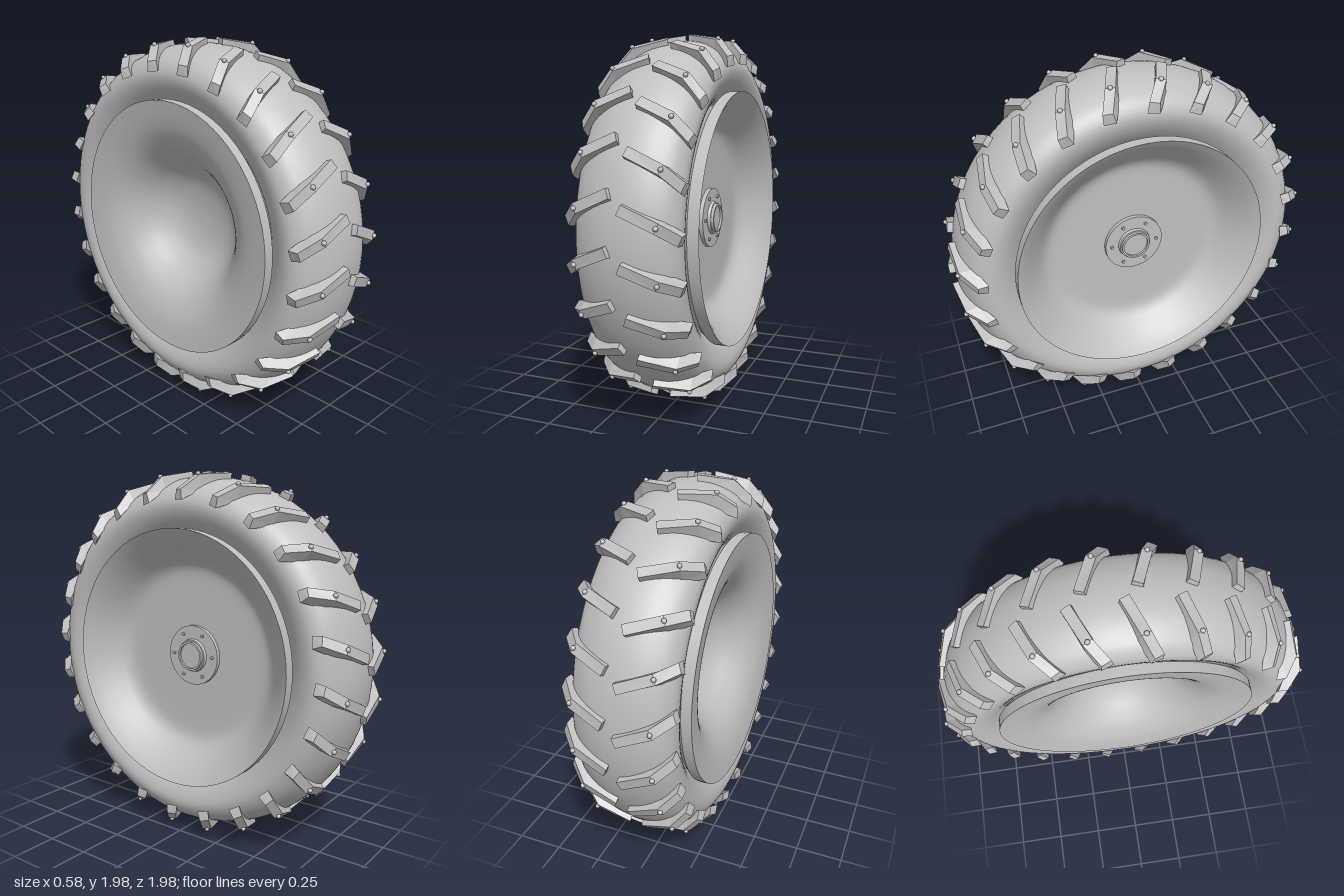
import * as THREE from 'three';

const V2 = (p) => new THREE.Vector2(p[0], p[1]);

export function createModel() {
  const root = new THREE.Group();
  root.name = 'tractorWheel';
  const grey = new THREE.MeshStandardMaterial({ color: 0xbfbfbf });
  grey.name = 'plain grey';

  // Everything is built around the axle, then lifted to stand on the ground
  const wheel = new THREE.Group();
  wheel.name = 'wheel';
  wheel.position.y = 1;
  root.add(wheel);

  function add(name, geometry, parent = wheel) {
    const mesh = new THREE.Mesh(geometry, grey);
    mesh.name = name;
    parent.add(mesh);
    return mesh;
  }

  // Surface of revolution around x; points are [radius, x]
  function turned(name, points, smooth = 0) {
    let pts = points.map(V2);
    if (smooth) pts = new THREE.SplineCurve(pts).getPoints(smooth);
    const geometry = new THREE.LatheGeometry(pts, 72);
    geometry.rotateZ(-Math.PI / 2);
    return add(name, geometry);
  }

  // Sharp-edged turned part: one strip for each pair of points
  function turnedSharp(name, points) {
    for (let i = 0; i < points.length - 1; i++) turned(name, [points[i], points[i + 1]]);
  }

  // Tyre carcass with rounded sidewalls, bead to bead
  const half = [[0.63, 0.16], [0.68, 0.205], [0.74, 0.245], [0.8, 0.264], [0.85, 0.254], [0.9, 0.215], [0.94, 0.14], [0.958, 0.07]];
  const mirrored = half.map(([r, x]) => [r, -x]);
  turned('tyre', [...mirrored, [0.963, 0], ...half.slice().reverse()], 48);

  // Rim front: sloping dish down to a flat disc
  turned('rimFront', [[0.693, 0.295], [0.65, 0.262], [0.6, 0.215], [0.55, 0.163], [0.515, 0.13], [0.48, 0.11], [0.44, 0.102], [0.38, 0.1]], 40);
  turned('discFront', [[0.38, 0.1], [0, 0.1]]);

  // Rim back: shallow flare that rolls over into a funnel-shaped bowl
  turned('rimBack', [[0, 0.04], [0.12, 0.03], [0.22, 0], [0.3, -0.06], [0.37, -0.14], [0.44, -0.205], [0.52, -0.248], [0.6, -0.27], [0.693, -0.285]], 40);

  // Lips standing proud of the sidewalls
  turnedSharp('frontLip', [[0.64, 0.17], [0.693, 0.235], [0.693, 0.295]]);
  turnedSharp('backLip', [[0.693, -0.285], [0.693, -0.23], [0.64, -0.17]]);

  // Hub flange with a raised, recessed collar
  turnedSharp('hubFlange', [[0.165, 0.095], [0.165, 0.122], [0.092, 0.122]]);
  turnedSharp('hubCollar', [[0.092, 0.122], [0.088, 0.138], [0.08, 0.138], [0.08, 0.154], [0.069, 0.154], [0.069, 0.142], [0, 0.142]]);
  const boltGeometry = new THREE.CylinderGeometry(0.009, 0.009, 0.02, 12);
  boltGeometry.rotateZ(Math.PI / 2);
  for (let i = 0; i < 6; i++) {
    const a = (i * Math.PI) / 3;
    add('hubBolt', boltGeometry).position.set(0.122, 0.13 * Math.sin(a), 0.13 * Math.cos(a));
  }

  // Bent tread lug: three cross-sections of x, top radius, bottom radius, sweep angle
  function lugGeometry(side) {
    const stations = [
      [0.03, 0.992, 0.93, 0],
      [0.2, 0.968, 0.89, -4.2],
      [0.28, 0.888, 0.835, -7.8],
    ];
    const corner = [];
    for (const [x, top, bottom, degrees] of stations) {
      const a = THREE.MathUtils.degToRad(degrees);
      for (const [s, r, w] of [[1, top, 0.023], [-1, top, 0.023], [-1, bottom, 0.029], [1, bottom, 0.029]]) {
        corner.push([
          side * (x + s * 0.01),
          r * Math.sin(a) + s * w * Math.cos(a),
          r * Math.cos(a) - s * w * Math.sin(a),
        ]);
      }
    }
    const positions = [];
    const quad = (a, b, c, d) => {
      const order = side > 0 ? [a, b, c, a, c, d] : [a, c, b, a, d, c];
      order.forEach((i) => positions.push(...corner[i]));
    };
    for (let k = 0; k < 2; k++) {
      for (let i = 0; i < 4; i++) {
        const j = (i + 1) % 4;
        quad(k * 4 + i, k * 4 + j, k * 4 + 4 + j, k * 4 + 4 + i);
      }
    }
    quad(3, 2, 1, 0);
    quad(8, 9, 10, 11);
    const geometry = new THREE.BufferGeometry();
    geometry.setAttribute('position', new THREE.Float32BufferAttribute(positions, 3));
    geometry.computeVertexNormals();
    return geometry;
  }

  // Two staggered rows of lugs, each with a round stud at its bend
  const studGeometry = new THREE.SphereGeometry(0.012, 12, 8);
  const bend = THREE.MathUtils.degToRad(-4.2);
  const count = 24;
  for (const [side, label, phase] of [[1, 'left', -5], [-1, 'right', -1]]) {
    const geometry = lugGeometry(side);
    for (let i = 0; i < count; i++) {
      const group = new THREE.Group();
      group.name = label + 'Lug';
      group.rotation.x = -THREE.MathUtils.degToRad(phase + (i * 360) / count);
      add('lugBar', geometry, group);
      add('lugStud', studGeometry, group).position.set(side * 0.2, 0.97 * Math.sin(bend), 0.97 * Math.cos(bend));
      wheel.add(group);
    }
  }

  return root;
}
